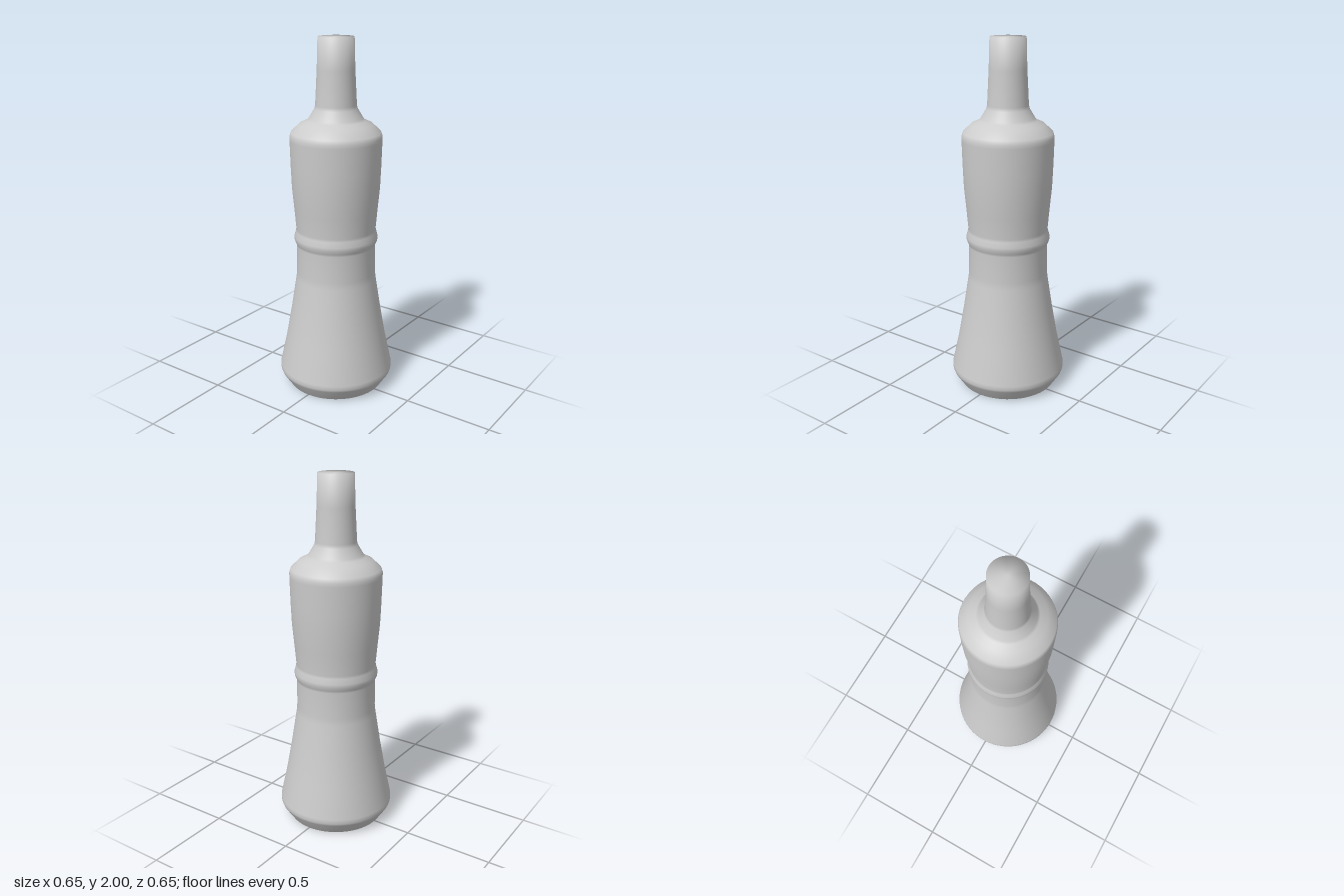
import * as THREE from 'three';

export function createModel() {
  const group = new THREE.Group();
  const material = new THREE.MeshStandardMaterial({ color: 0xcccccc });
  const segments = 64;

  const add = (name, geometry) => {
    const mesh = new THREE.Mesh(geometry, material);
    mesh.name = name;
    group.add(mesh);
    return mesh;
  };

  // Turned body: [radius, height] from the foot up to the closed mouth
  const profile = [
    [0.275, 0], [0.282, 0.01], [0.322, 0.07], [0.327, 0.085], [0.327, 0.11],
    [0.29, 0.28], [0.258, 0.46], [0.228, 0.65], [0.224, 0.69], [0.222, 0.845],
    // raised waist band
    [0.227, 0.86], [0.235, 0.88], [0.235, 0.9], [0.227, 0.93], [0.224, 0.945],
    // upper body and shoulder
    [0.234, 1.06], [0.245, 1.18], [0.25, 1.3], [0.254, 1.45], [0.254, 1.47],
    [0.247, 1.493], [0.2, 1.538], [0.16, 1.556], [0.148, 1.57],
    // neck and flat top
    [0.118, 1.62], [0.113, 1.64], [0.103, 1.83], [0.098, 2], [0, 2],
  ].map(([r, y]) => new THREE.Vector2(r, y));
  add('bottleBody', new THREE.LatheGeometry(profile, segments));

  // Flat underside with a sharp edge
  const base = new THREE.CircleGeometry(0.275, segments);
  base.rotateX(Math.PI / 2);
  add('baseDisc', base);

  return group;
}
